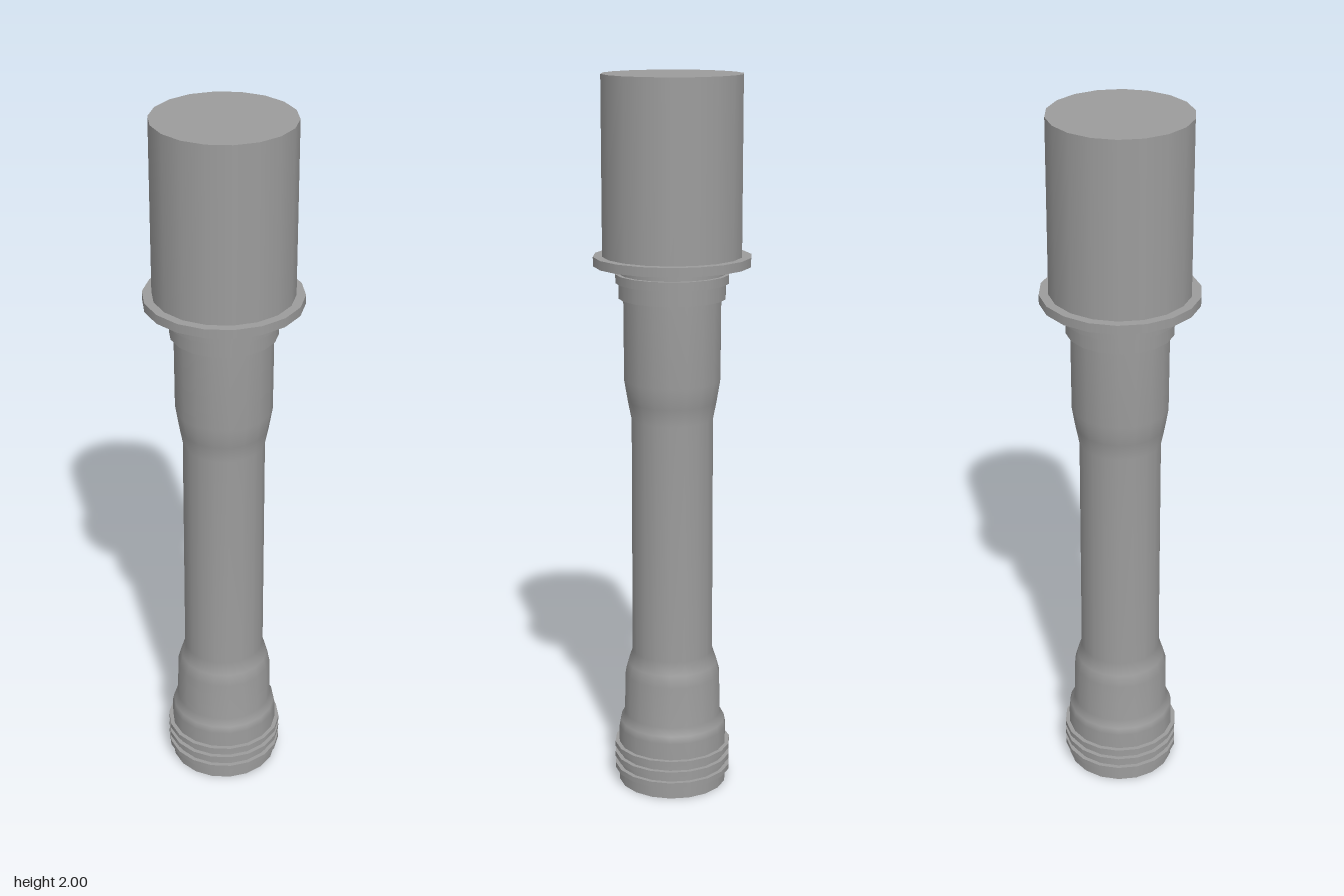
import * as THREE from 'three';

const SIDES = 18;

export function createModel() {
  const group = new THREE.Group();
  const material = new THREE.MeshStandardMaterial({ color: 0x9c9c9c });

  const add = (name, geometry) => {
    geometry.rotateY(Math.PI / SIDES); // puts a corner on the x axis
    const mesh = new THREE.Mesh(geometry, material);
    mesh.name = name;
    group.add(mesh);
  };

  // Capped disc or drum between two heights
  const drum = (name, radius, bottom, top) => {
    const geometry = new THREE.CylinderGeometry(radius, radius, top - bottom, SIDES);
    geometry.translate(0, (bottom + top) / 2, 0);
    add(name, geometry);
  };

  // Turned handle: swollen foot, slim grip, wider neck
  const profile = [
    [0.153, 0], [0.153, 0.165], [0.149, 0.185], [0.137, 0.207], [0.135, 0.325],
    [0.126, 0.358], [0.114, 0.395], [0.113, 1.07],
    [0.123, 1.12], [0.133, 1.18], [0.134, 1.42],
  ].map(([r, y]) => new THREE.Vector2(r, y));
  add('handle', new THREE.LatheGeometry(profile, SIDES));

  // Closed underside of the foot
  const base = new THREE.CircleGeometry(0.153, SIDES);
  base.rotateZ(Math.PI / 2);
  base.rotateX(Math.PI / 2);
  add('base', base);

  // Thin ridges around the foot
  [0.037, 0.07, 0.102].forEach((y, i) => drum(`footRidge${i + 1}`, 0.165, y, y + 0.015));

  // Stepped collar below the head
  drum('lowerCollar', 0.146, 1.405, 1.45);
  drum('collarRing', 0.155, 1.448, 1.472);
  drum('upperCollar', 0.144, 1.465, 1.5);

  // Cylindrical head standing on its flange
  drum('headFlange', 0.215, 1.495, 1.52);
  drum('head', 0.19, 1.52, 2);

  return group;
}
